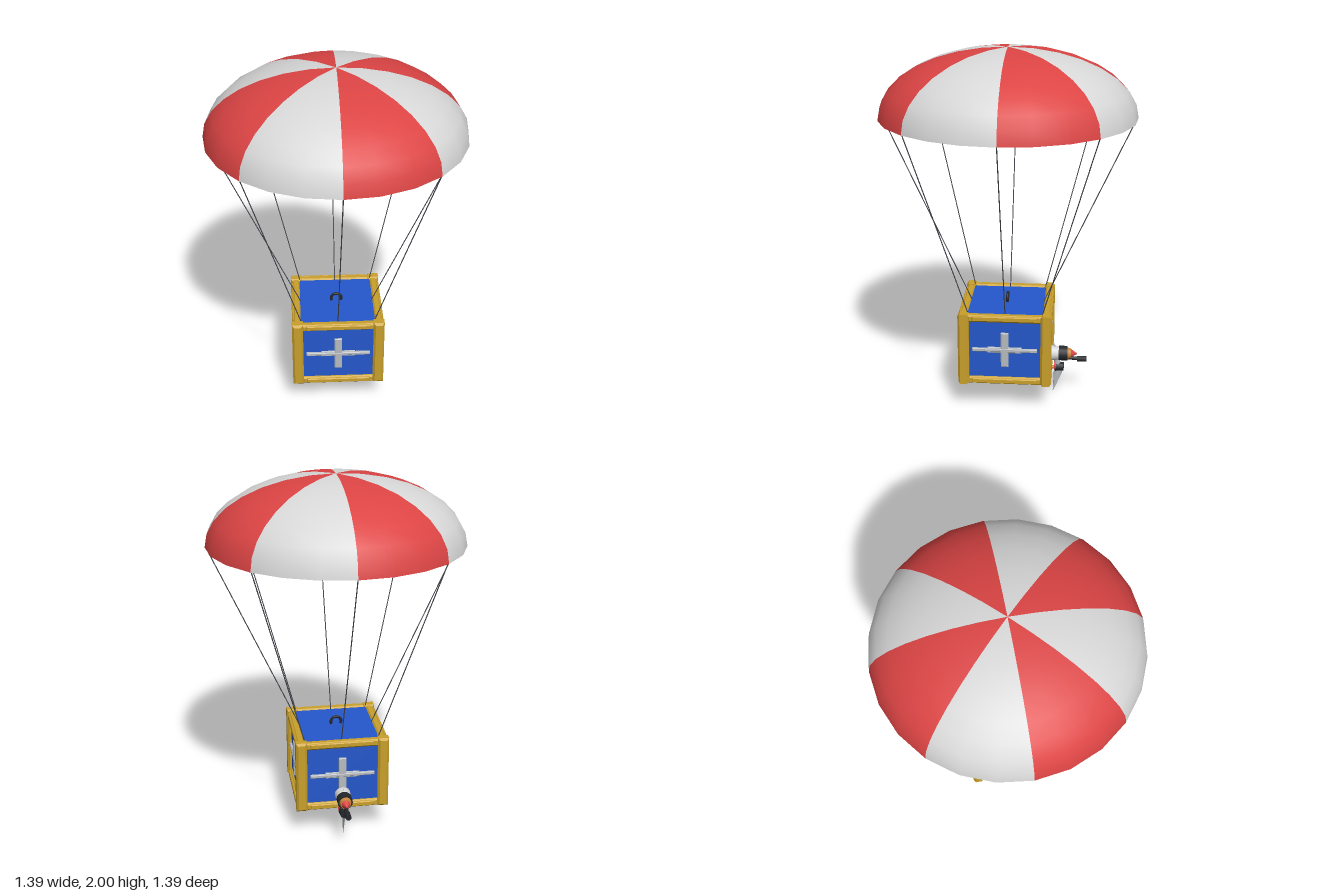
import * as THREE from 'three';

const mat = (name, color, side = THREE.FrontSide) => {
  const m = new THREE.MeshStandardMaterial({ color, side });
  m.name = name;
  return m;
};
const M = {
  red: mat('canopy red', 0xdc4444, THREE.DoubleSide),
  white: mat('canopy white', 0xd8d8d8, THREE.DoubleSide),
  blue: mat('crate blue', 0x2558cc),
  gold: mat('frame gold', 0xc9a02c),
  grey: mat('cross grey', 0xb8bcc0),
  black: mat('black', 0x25272b),
  orange: mat('orange', 0xc8843c),
  green: mat('green', 0x56704a),
  cord: mat('cord grey', 0x484c52),
  lens: mat('lens blue', 0x1f4680),
};

function add(parent, name, geo, material, x = 0, y = 0, z = 0) {
  const m = new THREE.Mesh(geo, material);
  m.name = name;
  m.position.set(x, y, z);
  parent.add(m);
  return m;
}

// Box with chamfered edges, centred on its origin
function bar(w, h, d, b) {
  const x = w / 2 - b, y = h / 2 - b;
  const s = new THREE.Shape([[-x, -y], [x, -y], [x, y], [-x, y]].map(p => new THREE.Vector2(...p)));
  return new THREE.ExtrudeGeometry(s, {
    depth: d - 2 * b, bevelEnabled: true, bevelSize: b, bevelThickness: b, bevelSegments: 1,
  }).translate(0, 0, b - d / 2);
}

// Round rod between two points
function rod(parent, name, a, b, r, material, sides = 6, r2 = r) {
  const p = new THREE.Vector3(...a), q = new THREE.Vector3(...b);
  const dir = q.clone().sub(p);
  const m = add(parent, name, new THREE.CylinderGeometry(r2, r, dir.length(), sides), material);
  m.position.copy(p).add(q).multiplyScalar(0.5);
  m.quaternion.setFromUnitVectors(new THREE.Vector3(0, 1, 0), dir.normalize());
  return m;
}

function canopy() {
  const g = new THREE.Group();
  g.name = 'canopy';
  const arc = (r, h) => Array.from({ length: 9 }, (_, i) => {
    const t = (i / 8) * Math.PI / 2;
    return new THREE.Vector2(i === 8 ? 0 : r * Math.cos(t), 1.63 + h * Math.sin(t));
  });
  const outer = arc(0.697, 0.37), inner = arc(0.68, 0.353);
  const rim = [inner[0], outer[0]];
  // Eight gores, each with an outside, an inside and a rim
  for (let k = 0; k < 8; k++) {
    const start = Math.PI / 2 - (k + 1) * Math.PI / 4;
    const material = k % 2 ? M.red : M.white;
    [['Outer', outer], ['Inner', inner.slice().reverse()], ['Rim', rim]].forEach(([n, pts]) =>
      add(g, 'gore' + n, new THREE.LatheGeometry(pts, 3, start, Math.PI / 4), material));
  }
  return g;
}

function cords() {
  const g = new THREE.Group();
  g.name = 'cords';
  for (let k = 0; k < 8; k++) {
    const a = k * Math.PI / 4, c = Math.cos(a), s = Math.sin(a);
    rod(g, 'cord', [Math.round(c) * 0.205, 0.56, Math.round(s) * 0.205],
      [c * 0.692, 1.632, s * 0.692], 0.003, M.cord, 5);
  }
  return g;
}

function crate() {
  const g = new THREE.Group();
  g.name = 'crate';
  add(g, 'crateBody', new THREE.BoxGeometry(0.47, 0.4, 0.47), M.blue, 0, 0.36, 0);
  // Corner posts
  for (const x of [-1, 1]) for (const z of [-1, 1])
    add(g, 'cornerPost', bar(0.062, 0.42, 0.062, 0.012), M.gold, x * 0.229, 0.363, z * 0.229);
  // Each side carries two rails and a raised cross
  for (let k = 0; k < 4; k++) {
    const side = new THREE.Group();
    side.name = 'crateSide';
    side.rotation.y = k * Math.PI / 2;
    add(side, 'topRail', bar(0.41, 0.042, 0.042, 0.009), M.gold, 0, 0.547, 0.229);
    add(side, 'bottomRail', bar(0.41, 0.042, 0.042, 0.009), M.gold, 0, 0.175, 0.229);
    add(side, 'railStrip', bar(0.36, 0.03, 0.016, 0.005), M.gold, 0, 0.55, 0.25);
    add(side, 'railStrip', bar(0.36, 0.03, 0.016, 0.005), M.gold, 0, 0.175, 0.25);
    add(side, 'crossUpright', bar(0.042, 0.205, 0.016, 0.004), M.grey, 0, 0.362, 0.24);
    add(side, 'crossArm', bar(0.36, 0.02, 0.018, 0.004), M.grey, 0, 0.361, 0.241);
    add(side, 'crossCentre', bar(0.19, 0.034, 0.012, 0.003), M.grey, 0, 0.361, 0.24);
    g.add(side);
  }
  // Lifting ring on the lid
  add(g, 'liftingRing', new THREE.TorusGeometry(0.029, 0.008, 8, 20, Math.PI * 1.3), M.black, 0, 0.578, 0)
    .rotation.z = -Math.PI * 0.15;
  return g;
}

function underUnit() {
  const g = new THREE.Group();
  g.name = 'underUnit';
  add(g, 'mountPlate', bar(0.26, 0.028, 0.1, 0.008), M.orange, 0, 0.138, 0);
  add(g, 'housing', bar(0.2, 0.04, 0.14, 0.01), M.orange, 0, 0.127, 0);
  add(g, 'housingBand', bar(0.18, 0.018, 0.12, 0.006), M.green, 0, 0.102, 0);
  add(g, 'lensRing', new THREE.CylinderGeometry(0.05, 0.046, 0.018, 20), M.black, 0, 0.092, 0);
  add(g, 'lens', new THREE.CylinderGeometry(0.04, 0.036, 0.01, 20), M.lens, 0, 0.081, 0);
  for (const x of [-0.04, 0.04])
    rod(g, 'knob', [x, 0.12, -0.06], [x, 0.1, -0.095], 0.018, M.black, 12);
  // Arm running back to the motor
  rod(g, 'arm', [0, 0.145, -0.05], [0, 0.15, -0.29], 0.011, M.orange, 8);
  return g;
}

function motor() {
  const g = new THREE.Group();
  g.name = 'motor';
  const along = (name, z0, z1, r0, r1, material, y = 0.24) =>
    rod(g, name, [0, y, z0], [0, y, z1], r0, material, 16, r1);
  along('motorBase', -0.245, -0.3, 0.045, 0.038, M.white);
  along('motorBody', -0.295, -0.345, 0.042, 0.042, M.black);
  along('motorCollar', -0.345, -0.365, 0.034, 0.028, M.orange);
  along('spinner', -0.362, -0.4, 0.026, 0.002, M.red);
  // Steering handle with its grip
  rod(g, 'handle', [0, 0.215, -0.31], [0, 0.208, -0.41], 0.011, M.black, 8);
  rod(g, 'grip', [0, 0.208, -0.4], [0, 0.207, -0.455], 0.016, M.black, 10);
  // Lower hub
  rod(g, 'strut', [0, 0.21, -0.285], [0, 0.13, -0.29], 0.018, M.grey, 10);
  along('hub', -0.275, -0.325, 0.028, 0.024, M.black, 0.155);
  along('hubBand', -0.27, -0.28, 0.03, 0.03, M.red, 0.165);
  // Flat pointed blades
  const blade = (y0, y1, z0, z1) => {
    const b = rod(g, 'blade', [0, y0, z0], [0, y1, z1], 0.027, M.grey, 10, 0.002);
    b.scale.x = 0.3;
  };
  blade(0.14, 0, -0.295, -0.265);
  blade(0.22, 0.305, -0.285, -0.263);
  return g;
}

export function createModel() {
  const model = new THREE.Group();
  model.name = 'parachuteCrate';
  model.add(canopy(), cords(), crate(), underUnit(), motor());
  return model;
}
